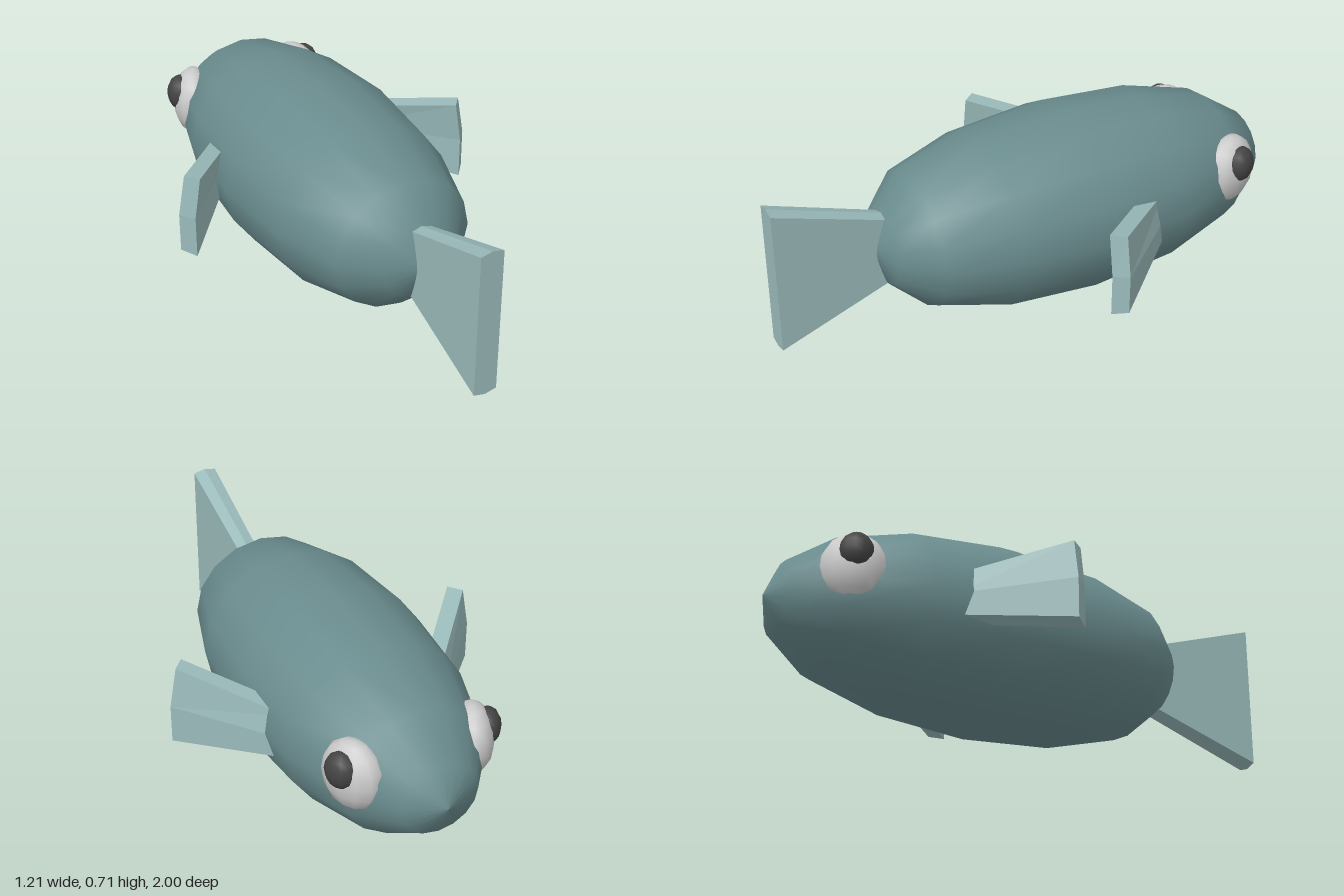
import * as THREE from 'three';

const material = (color, flatShading = false) => new THREE.MeshStandardMaterial({ color, flatShading });

// Closed blade between two six-point sections, clockwise as seen from the tip
function blade(root, tip) {
  const pos = [];
  const quad = (a, b, c, d) => pos.push(...a, ...b, ...c, ...a, ...c, ...d);
  for (let i = 0; i < 6; i++) {
    const j = (i + 1) % 6;
    quad(root[i], tip[i], tip[j], root[j]);
  }
  for (const [a, b, c, d] of [[0, 5, 4, 1], [1, 4, 3, 2]]) {
    quad(tip[a], tip[b], tip[c], tip[d]);
    quad(root[d], root[c], root[b], root[a]);
  }
  const geo = new THREE.BufferGeometry();
  geo.setAttribute('position', new THREE.Float32BufferAttribute(pos, 3));
  geo.computeVertexNormals();
  return geo;
}

export function createModel() {
  const fish = new THREE.Group();
  fish.name = 'fish';
  const skin = material(0x6a8c8e);
  const finSkin = material(0x9ababa, true);
  const white = material(0xcccccc);
  const dark = material(0x444444);

  const add = (name, geo, mat, parent = fish) => {
    const mesh = new THREE.Mesh(geo, mat);
    mesh.name = name;
    parent.add(mesh);
    return mesh;
  };

  // Body: rings along z, nose at -z
  const profile = [[0, -1], [0.38, -0.943], [0.71, -0.777], [0.925, -0.5], [1, -0.155],
    [0.925, 0.19], [0.71, 0.46], [0.385, 0.585], [0, 0.63]];
  const body = new THREE.LatheGeometry(profile.map(([r, z]) => new THREE.Vector2(r, z)), 16);
  body.rotateX(Math.PI / 2).scale(0.385, 0.355, 1).translate(0, 0.36, 0);
  add('body', body, skin);

  // Tail fin: flares toward the back, with a slight ridge along its edges
  const tailSection = (w, h, z) => [[-w, h - 0.01], [0, h], [w, h - 0.01],
    [w, 0.01 - h], [0, -h], [-w, 0.01 - h]].map(([x, y]) => [x, 0.36 + y, z]);
  add('tailFin', blade(tailSection(0.036, 0.11, 0.48), tailSection(0.045, 0.29, 1)), finSkin);

  // Side fins: swept back, slightly bent at mid height
  const finTip = [[0.58, 0.525, -0.085], [0.607, 0.37, -0.085], [0.607, 0.22, -0.085],
    [0.565, 0.205, -0.037], [0.565, 0.365, -0.037], [0.54, 0.525, -0.037]];
  const finRoot = finTip.map(([x, y, z]) => [x - 0.28, 0.355 + (y - 0.365) * 0.55, z - 0.325]);
  const mirror = (pts) => pts.map(([x, y, z]) => [-x, y, z]).reverse();
  add('leftFin', blade(finRoot, finTip), finSkin);
  add('rightFin', blade(mirror(finRoot), mirror(finTip)), finSkin);

  // Eyes: flattened balls turned toward the nose, each with a pupil
  for (const side of [1, -1]) {
    const eye = new THREE.Group();
    eye.name = side > 0 ? 'leftEye' : 'rightEye';
    const ball = (name, mat, x, y, z, rx, ry, rz) => {
      const mesh = add(name, new THREE.SphereGeometry(1, 12, 8), mat, eye);
      mesh.position.set(side * x, y, z);
      mesh.scale.set(rx, ry, rz);
      mesh.rotation.y = side * 0.44;
    };
    ball('eyeball', white, 0.225, 0.415, -0.755, 0.082, 0.135, 0.122);
    ball('pupil', dark, 0.278, 0.457, -0.768, 0.05, 0.07, 0.062);
    fish.add(eye);
  }
  return fish;
}
